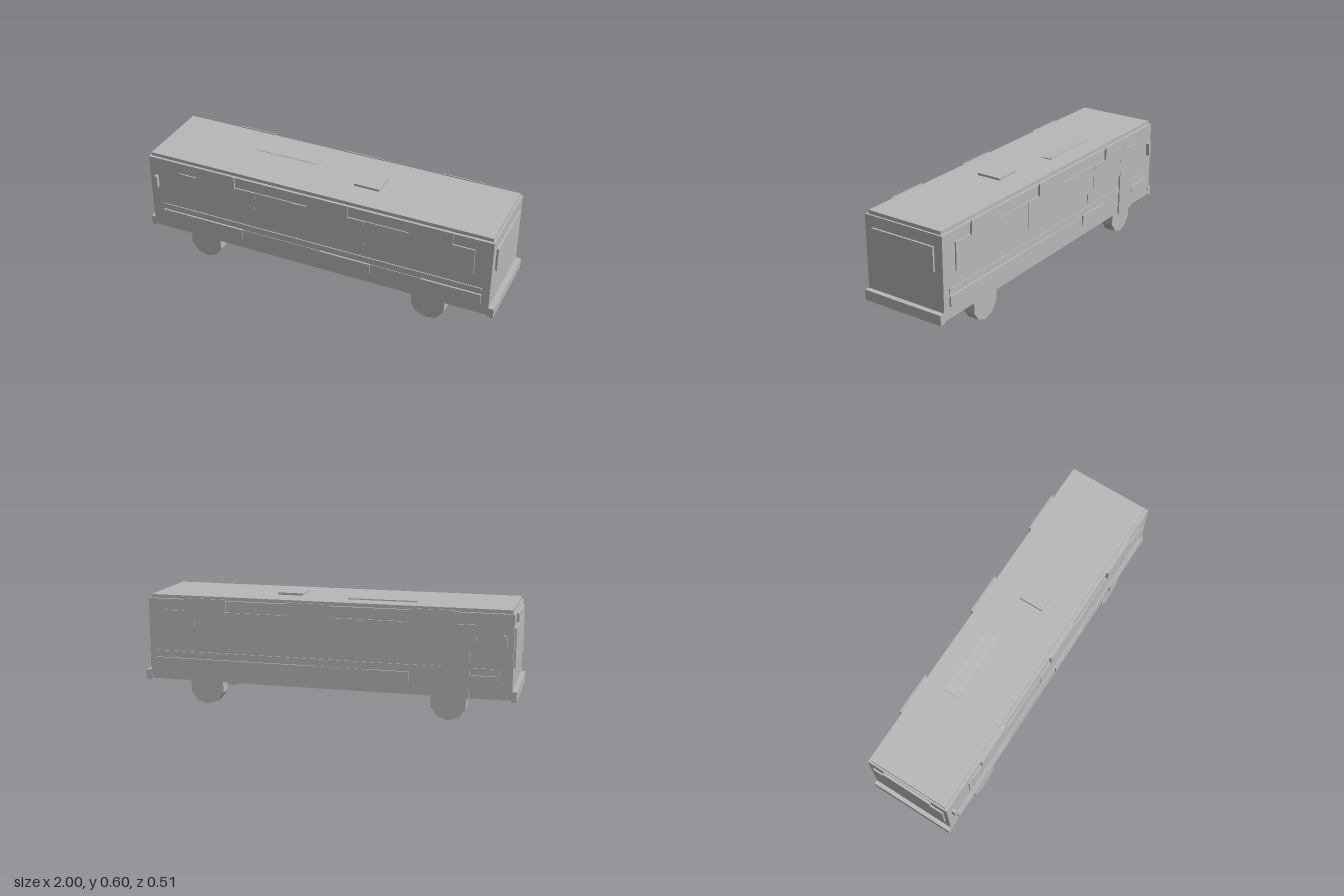
import * as THREE from 'three';

export function createModel() {
  const bus = new THREE.Group();
  bus.name = 'bus';
  const grey = new THREE.MeshStandardMaterial({ color: 0xb8b8b8 });
  grey.name = 'plain grey';

  // Box given by its limits on each axis
  function box(name, x0, x1, y0, y1, z0, z1) {
    const mesh = new THREE.Mesh(new THREE.BoxGeometry(x1 - x0, y1 - y0, z1 - z0), grey);
    mesh.name = name;
    mesh.position.set((x0 + x1) / 2, (y0 + y1) / 2, (z0 + z1) / 2);
    bus.add(mesh);
    return mesh;
  }

  // Thin plate standing out from one flank (side = 1 or -1)
  function plate(name, side, x0, x1, y0, y1, out, inner = 0.23) {
    const a = side * inner, b = side * out;
    return box(name, x0, x1, y0, y1, Math.min(a, b), Math.max(a, b));
  }

  // Body shell, roof and bumpers
  box('body', -0.978, 0.972, 0.125, 0.565, -0.235, 0.235);
  box('roof', -0.968, 0.962, 0.56, 0.584, -0.22, 0.22);
  box('frontBumper', -1, -0.972, 0.115, 0.17, -0.236, 0.236);
  box('rearBumper', 0.968, 1, 0.115, 0.17, -0.236, 0.236);

  // End windows and destination panel
  box('windscreen', -0.987, -0.97, 0.287, 0.49, -0.21, 0.21);
  box('destinationPanel', -0.991, -0.97, 0.51, 0.555, -0.14, 0.14);
  box('rearWindow', 0.965, 0.983, 0.375, 0.505, -0.187, 0.187);

  // Roof hatch and slightly tilted roof panel
  box('roofHatch', 0.16, 0.3, 0.58, 0.596, -0.069, 0.069);
  const panel = box('roofPanel', -0.465, -0.1, 0.578, 0.588, -0.115, -0.038);
  panel.rotation.x = 0.05;

  // Side windows, upper panels and mirrors on both flanks
  const joints = [-0.79, -0.755, -0.335, -0.125, 0.29, 0.71, 0.88];
  for (const side of [1, -1]) {
    for (let i = 0; i < joints.length - 1; i++) {
      plate('sideWindow', side, joints[i], joints[i + 1], 0.356, 0.505, i % 2 ? 0.243 : 0.241);
    }
    for (const x of [-0.565, 0.085, 0.65]) {
      plate('upperPanel', side, x - 0.115, x + 0.115, 0.5, 0.575, 0.248, 0.242);
      plate('upperPanelMount', side, x - 0.113, x + 0.113, 0.503, 0.56, 0.243);
    }
    plate('mirror', side, -0.945, -0.928, 0.385, 0.457, 0.255);
  }

  // Trim along the left flank
  plate('upperStripe', 1, -0.91, 0.93, 0.25, 0.283, 0.241);
  for (const [a, b] of [[-0.91, -0.42], [0.04, 0.325], [0.605, 0.93]]) {
    plate('lowerStripe', 1, a, b, 0.19, 0.245, 0.245);
  }
  plate('lowerStripeBase', 1, -0.42, 0.605, 0.192, 0.243, 0.238);

  // Trim and door on the right flank
  plate('upperStripe', -1, -0.62, 0.93, 0.25, 0.283, 0.24);
  plate('upperStripe', -1, -0.91, -0.76, 0.25, 0.283, 0.24);
  for (const [a, b] of [[0.06, 0.93], [-0.45, -0.23], [-0.91, -0.76]]) {
    plate('lowerStripe', -1, a, b, 0.19, 0.245, 0.245);
  }
  plate('lowerStripeBase', -1, -0.23, 0.06, 0.192, 0.243, 0.238);
  plate('sidePanel', -1, -0.47, -0.28, 0.305, 0.357, 0.24);
  plate('door', -1, -0.76, -0.62, 0.122, 0.45, 0.244);

  // Ten-sided wheels with inner hubs
  function disc(name, radius, width, x, z) {
    const geo = new THREE.CylinderGeometry(radius, radius, width, 10).toNonIndexed();
    geo.rotateX(Math.PI / 2);
    geo.computeVertexNormals();
    const mesh = new THREE.Mesh(geo, grey);
    mesh.name = name;
    mesh.position.set(x, 0.095, z);
    bus.add(mesh);
  }
  for (const x of [-0.655, 0.65]) {
    for (const side of [1, -1]) {
      disc('wheel', 0.095, 0.064, x, side * 0.202);
      disc('wheelHub', 0.042, 0.01, x, side * 0.171);
    }
  }
  return bus;
}
